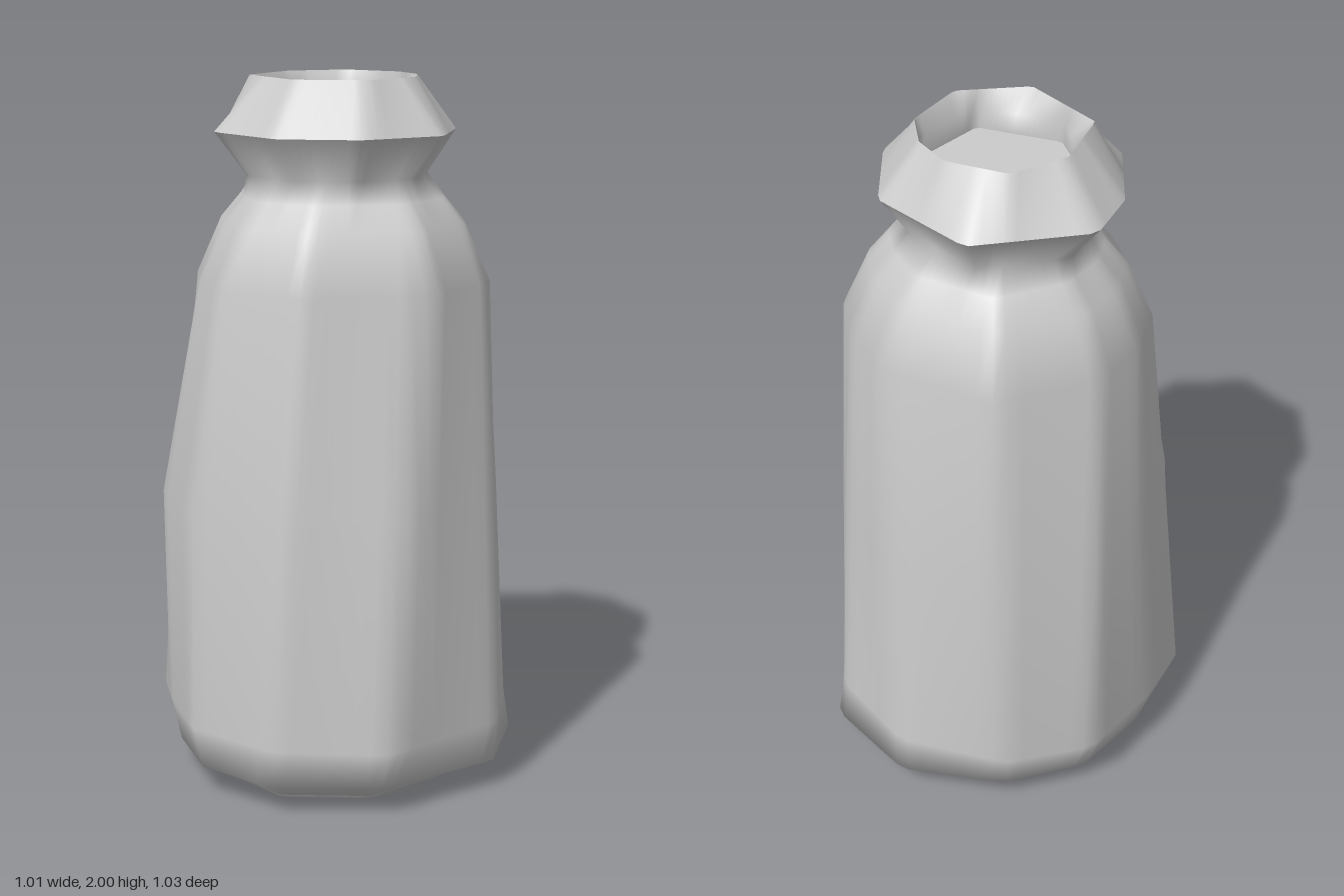
import * as THREE from 'three';

const SIDES = 72;

// Distance from the axis to a polygon of [x, z] corners along a direction
function reach(poly, dx, dz) {
  let best = 0;
  poly.forEach(([ax, az], i) => {
    const [bx, bz] = poly[(i + 1) % poly.length];
    const ex = bx - ax, ez = bz - az;
    const det = dz * ex - dx * ez;
    if (Math.abs(det) < 1e-9) return;
    const t = (az * ex - ax * ez) / det;
    const s = (dx * az - dz * ax) / det;
    if (s >= -1e-6 && s <= 1 + 1e-6 && t > best) best = t;
  });
  return best;
}

// Smooth skin through rings of { y, poly, scale }
function loft(name, rings, material) {
  const pos = [], index = [];
  for (const { y, poly, scale = 1 } of rings) {
    for (let i = 0; i < SIDES; i++) {
      const a = (i / SIDES) * Math.PI * 2;
      const dx = Math.cos(a), dz = Math.sin(a);
      const r = reach(poly, dx, dz) * scale;
      pos.push(dx * r, y, dz * r);
    }
  }
  for (let j = 0; j < rings.length - 1; j++) {
    for (let i = 0; i < SIDES; i++) {
      const n = (i + 1) % SIDES;
      const a = j * SIDES + i, b = j * SIDES + n;
      const c = a + SIDES, d = b + SIDES;
      index.push(a, c, b, b, c, d);
    }
  }
  const geo = new THREE.BufferGeometry();
  geo.setAttribute('position', new THREE.Float32BufferAttribute(pos, 3));
  geo.setIndex(index);
  geo.computeVertexNormals();
  const mesh = new THREE.Mesh(geo, material);
  mesh.name = name;
  return mesh;
}

export function createModel() {
  const group = new THREE.Group();
  group.name = 'bottle';
  const mat = new THREE.MeshStandardMaterial({ color: 0xcccccc, side: THREE.DoubleSide });

  // Uneven hand-cut cross-sections, [x, z]
  const foot = [[-0.31, -0.22], [-0.1, -0.35], [0.12, -0.33], [0.28, -0.2], [0.31, 0],
    [0.26, 0.18], [0.03, 0.32], [-0.22, 0.27], [-0.34, 0.08]];
  const heel = [[-0.11, -0.47], [0.14, -0.46], [0.4, -0.31], [0.51, -0.02], [0.39, 0.28],
    [0.04, 0.45], [-0.25, 0.4], [-0.43, 0.2], [-0.47, -0.05], [-0.45, -0.22], [-0.33, -0.34]];
  const base = [[-0.12, -0.52], [0.14, -0.5], [0.4, -0.31], [0.49, -0.02], [0.4, 0.29],
    [0.04, 0.51], [-0.26, 0.435], [-0.46, 0.21], [-0.495, -0.05], [-0.5, -0.235], [-0.36, -0.365]];
  const waist = [[-0.135, -0.475], [0.15, -0.475], [0.4, -0.25], [0.455, -0.01], [0.395, 0.23],
    [0.12, 0.43], [-0.22, 0.405], [-0.46, 0.2], [-0.51, -0.05], [-0.44, -0.22], [-0.31, -0.35]];
  const shoulder = [[-0.15, -0.42], [0.155, -0.44], [0.39, -0.19], [0.415, 0], [0.39, 0.16],
    [0.2, 0.36], [-0.17, 0.375], [-0.37, 0.2], [-0.4, 0], [-0.39, -0.18], [-0.3, -0.32]];
  const collar = [[-0.15, -0.36], [0.19, -0.31], [0.33, -0.02], [0.24, 0.23], [0, 0.32],
    [-0.22, 0.255], [-0.36, 0.01], [-0.275, -0.23]];
  const rim = [[-0.12, -0.22], [0.05, -0.25], [0.185, -0.135], [0.215, -0.02], [0.19, 0.1],
    [0.045, 0.21], [-0.16, 0.165], [-0.25, -0.07]];
  const mouth = [[-0.085, -0.21], [0.05, -0.215], [0.145, -0.165], [0.19, -0.12], [0.19, 0.08],
    [-0.01, 0.19], [-0.2, 0.04], [-0.195, -0.1]];

  // Body from the foot up to the narrow neck and the underside of the collar
  group.add(loft('body', [
    { y: 0.01, poly: foot },
    { y: 0.08, poly: heel },
    { y: 0.2, poly: base },
    { y: 0.83, poly: waist },
    { y: 1.44, poly: shoulder },
    { y: 1.6, poly: shoulder, scale: 0.83 },
    { y: 1.67, poly: shoulder, scale: 0.69 },
    { y: 1.73, poly: collar, scale: 0.75 },
    { y: 1.85, poly: collar },
  ], mat));

  // Sloping upper half of the collar
  group.add(loft('collar', [{ y: 1.85, poly: collar }, { y: 2, poly: rim }], mat));

  // Inside of the mouth and its floor
  group.add(loft('innerLip', [{ y: 2, poly: rim }, { y: 1.95, poly: mouth }, { y: 1.89, poly: mouth }], mat));
  group.add(loft('mouthFloor', [{ y: 1.89, poly: mouth }, { y: 1.89, poly: mouth, scale: 0 }], mat));

  // Slightly hollow underside
  group.add(loft('underside', [
    { y: 0.02, poly: foot, scale: 0 },
    { y: 0.02, poly: foot, scale: 0.9 },
    { y: 0, poly: foot, scale: 0.98 },
    { y: 0.01, poly: foot },
  ], mat));

  return group;
}
